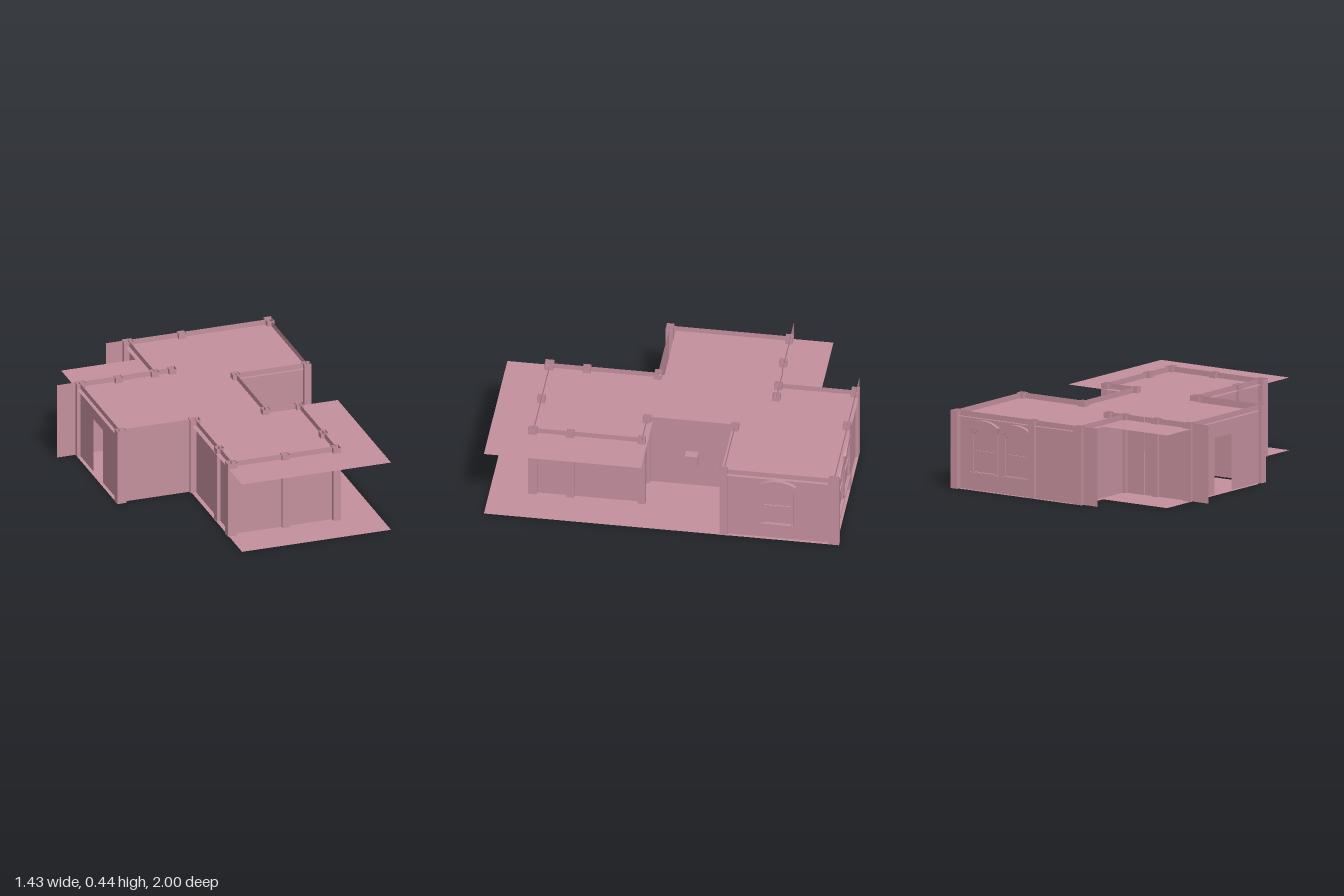
import * as THREE from 'three';

const H = 0.443, ROOF = 0.412;
const material = new THREE.MeshStandardMaterial({ color: 0xc4909e, side: THREE.DoubleSide, flatShading: true });

function add(parent, name, geometry) {
  const mesh = new THREE.Mesh(geometry, material);
  mesh.name = name;
  parent.add(mesh);
  return mesh;
}

// Flat slab outline given as [x, z] points
function slab(parent, name, points, y) {
  const shape = new THREE.Shape(points.map(([x, z]) => new THREE.Vector2(x, -z)));
  add(parent, name, new THREE.ShapeGeometry(shape).rotateX(-Math.PI / 2)).position.y = y;
}

// Thin wall sheet between two ground points, with an optional door [start, end, height]
function wall(parent, name, x0, z0, x1, z1, door) {
  const length = Math.hypot(x1 - x0, z1 - z0);
  const shape = new THREE.Shape().moveTo(0, 0);
  if (door) {
    const [a, b, top] = door;
    shape.lineTo(a, 0).lineTo(a, top).lineTo(b, top).lineTo(b, 0);
  }
  shape.lineTo(length, 0).lineTo(length, H).lineTo(0, H);
  const mesh = add(parent, name, new THREE.ShapeGeometry(shape));
  mesh.position.set(x0, 0, z0);
  mesh.rotation.y = -Math.atan2(z1 - z0, x1 - x0);
}

// Square hollow column, open at top and bottom
function column(parent, name, x, z, w = 0.043, d = 0.043) {
  const geometry = new THREE.BoxGeometry(w, H, d);
  const index = Array.from(geometry.index.array);
  geometry.setIndex(index.filter((_, i) => i < 12 || i >= 24));
  add(parent, name, geometry).position.set(x, H / 2, z);
}

// Outline with straight sides and a shallow arched top
function arched(PathType, half, bottom, spring, crown) {
  return new PathType().moveTo(-half, bottom).lineTo(half, bottom).lineTo(half, spring)
    .quadraticCurveTo(0, 2 * crown - spring, -half, spring).lineTo(-half, bottom);
}

// Arched sash window facing +z
function windowUnit() {
  const group = new THREE.Group();
  group.name = 'window';
  const extrude = (shape, depth) =>
    new THREE.ExtrudeGeometry(shape, { depth, bevelEnabled: false, curveSegments: 10 });

  const frame = arched(THREE.Shape, 0.0915, 0.09, 0.335, 0.363);
  frame.holes.push(arched(THREE.Path, 0.076, 0.106, 0.32, 0.347));
  add(group, 'windowFrame', extrude(frame, 0.012));

  const pane = arched(THREE.Shape, 0.078, 0.104, 0.322, 0.349);
  add(group, 'windowPane', new THREE.ShapeGeometry(pane, 10)).position.z = 0.003;

  const hood = new THREE.Shape().moveTo(-0.0915, 0.335)
    .quadraticCurveTo(0, 0.391, 0.0915, 0.335).lineTo(0.1015, 0.37)
    .quadraticCurveTo(0, 0.432, -0.1015, 0.37);
  add(group, 'windowHood', extrude(hood, 0.022));

  add(group, 'windowRail', new THREE.BoxGeometry(0.152, 0.012, 0.01)).position.set(0, 0.222, 0.005);
  add(group, 'windowSill', new THREE.BoxGeometry(0.183, 0.014, 0.02)).position.set(0, 0.097, 0.01);
  return group;
}

export function createModel() {
  const model = new THREE.Group();
  model.name = 'building';

  // Floor and roof sheets; the roof leaves the side courtyard open
  const west = [[-0.17, 1], [-0.17, 0.115], [-0.61, 0.115], [-0.61, -0.77], [-0.17, -0.77], [-0.17, -0.985]];
  slab(model, 'floor', [...west, [0.71, -0.985], [0.71, 1]], 0);
  slab(model, 'roof', [...west, [0.71, -0.985], [0.71, -0.33], [0.27, -0.33], [0.27, 0.115],
    [0.71, 0.115], [0.71, 1]], ROOF);

  // Wall sheets; two of them run on past their end columns
  wall(model, 'frontWall', -0.145, 0.757, 0.47, 0.757);
  wall(model, 'frontRightWall', -0.145, 0.147, -0.145, 0.757);
  wall(model, 'frontLeftWall', 0.47, 0.757, 0.47, 0.147);
  wall(model, 'wingFrontWall', -0.585, 0.147, -0.145, 0.147);
  wall(model, 'wingDoorWall', -0.59, -0.53, -0.59, 0.147, [0.24, 0.4, 0.32]);
  wall(model, 'wingBackWall', -0.72, -0.53, -0.28, -0.53);
  wall(model, 'wingInnerWall', -0.28, -0.535, -0.03, -0.535);
  wall(model, 'backRightWall', -0.145, -0.965, -0.145, -0.53);
  wall(model, 'backWall', -0.275, -0.967, 0.69, -0.967);
  wall(model, 'backLeftWall', 0.692, -0.967, 0.692, -0.347);
  wall(model, 'courtyardBackWall', 0.27, -0.347, 0.69, -0.347);
  wall(model, 'courtyardSideWall', 0.27, -0.347, 0.27, 0.147);
  wall(model, 'courtyardFrontWall', 0.27, 0.147, 0.47, 0.147);

  // Columns along the walls
  const columns = [[0.47, 0.548], [0.17, 0.757], [-0.145, 0.548], [0.47, 0.147], [0.27, 0.147],
    [0.27, -0.347], [0.69, -0.347], [0.17, -0.963], [-0.36, -0.525], [-0.145, -0.53], [-0.04, -0.535]];
  columns.forEach(([x, z]) => column(model, 'wallColumn', x, z));

  // Wider columns at the outer corners
  const corners = [[0.469, 0.76, 0.043, 0.05], [-0.149, 0.76, 0.058, 0.05], [-0.149, 0.147, 0.058, 0.043],
    [-0.585, 0.147, 0.054, 0.043], [-0.585, -0.525, 0.054, 0.043], [-0.149, -0.962, 0.058, 0.046],
    [0.689, -0.969, 0.043, 0.062]];
  corners.forEach(([x, z, w, d]) => column(model, 'cornerColumn', x, z, w, d));

  // Windows on the back and left walls
  for (const x of [0.277, 0.497]) {
    const unit = windowUnit();
    unit.position.set(x, 0, -0.967);
    unit.rotation.y = Math.PI;
    model.add(unit);
  }
  const sideWindow = windowUnit();
  sideWindow.position.set(0.692, 0, -0.652);
  sideWindow.rotation.y = Math.PI / 2;
  model.add(sideWindow);

  // Small box fixed to the courtyard wall
  add(model, 'wallBox', new THREE.BoxGeometry(0.05, 0.075, 0.07)).position.set(0.296, 0.192, -0.108);

  return model;
}
